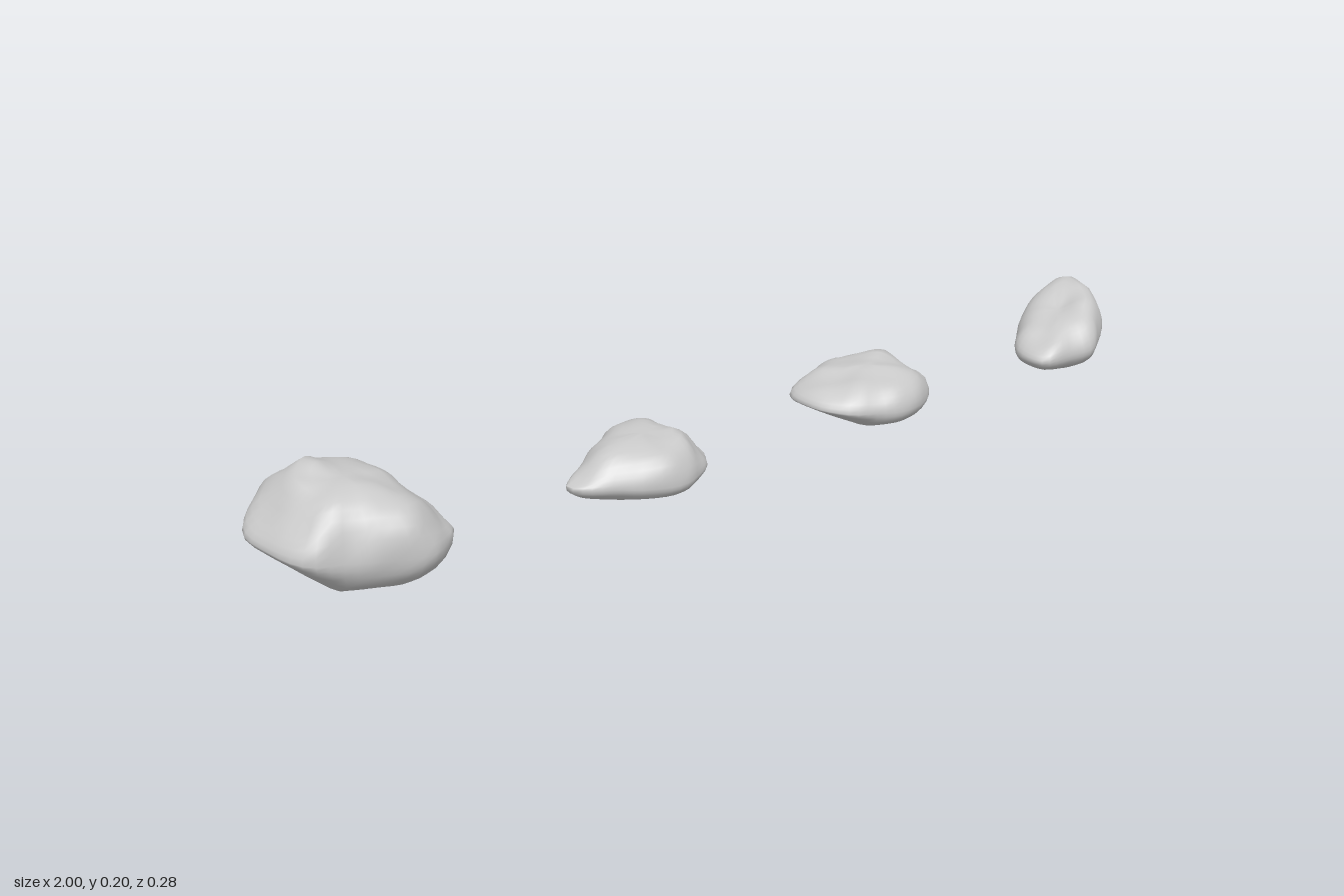
import * as THREE from 'three';
import { mergeVertices } from 'three/addons/utils/BufferGeometryUtils.js';

const SIDES = 44;
const RINGS = 20;

// Height lookup over evenly spaced values, t from 0 to 1
function sample(heights, t) {
  const u = THREE.MathUtils.clamp(t, 0, 1) * (heights.length - 1);
  const i = Math.min(Math.floor(u), heights.length - 2);
  return THREE.MathUtils.lerp(heights[i], heights[i + 1], u - i);
}

// Layered waves that give soft facets and dents
function wave(x, y, z, seed) {
  return 0.6 * Math.sin(38 * x + 21 * z + seed) * Math.cos(33 * z - 25 * y + 2 * seed)
    + 0.4 * Math.sin(71 * x - 47 * y + 3 * seed) * Math.sin(64 * z + 39 * y + seed)
    - 0.5 * Math.abs(Math.sin(29 * x - 34 * z + 22 * y + 5 * seed)) + 0.2;
}

// radii: plan outline in 30 degree steps from +x towards the back.
// top, bottom: heights from the -x end to the +x end.
// rim: height of the widest loop, then its slopes along x and z.
// bump: x, z, radius and height of a knob or dent on top.
function rockGeometry({ seed, x: cx, radii, top, bottom, rim, topSlope, bump }) {
  const corners = radii.map((r, i) => {
    const angle = (i * Math.PI * 2) / radii.length;
    return new THREE.Vector3(r * Math.cos(angle), 0, -r * Math.sin(angle));
  });
  const outline = new THREE.CatmullRomCurve3(corners, true, 'centripetal').getSpacedPoints(SIDES).slice(0, SIDES);
  const { min, max } = new THREE.Box3().setFromPoints(outline);

  // Loops run from the underside, out to the rim, and over the top
  const positions = [], indices = [];
  for (let j = 0; j <= RINGS; j++) {
    const angle = (j / RINGS - 0.5) * Math.PI;
    const s = Math.cos(angle), isTop = angle > 0;
    const fill = Math.sqrt(1 - Math.pow(s, isTop ? 3 : 3.5));
    outline.forEach((p, i) => {
      const x = p.x * s, z = p.z * s;
      const t = (x - min.x) / (max.x - min.x);
      let goal = sample(bottom, t);
      if (isTop) {
        const [bx, bz, radius, height] = bump;
        const distance = Math.hypot(x - bx, z - bz) / radius;
        goal = sample(top, t) + topSlope * z + height * Math.exp(-distance * distance);
      }
      const y = THREE.MathUtils.lerp(rim[0] + rim[1] * x + rim[2] * z, goal, fill);
      const n = 0.005 * wave(x, y, z, seed);
      const swell = 1 + 6 * n;
      positions.push(cx + x * swell, Math.max(0, y + n * fill * (isTop ? 1 : 0.4)), z * swell);
      if (j > 0) {
        const k = (i + 1) % SIDES, a = (j - 1) * SIDES, b = j * SIDES;
        indices.push(a + i, a + k, b + k, a + i, b + k, b + i);
      }
    });
  }
  const geometry = new THREE.BufferGeometry();
  geometry.setAttribute('position', new THREE.Float32BufferAttribute(positions, 3));
  geometry.setIndex(indices);
  const welded = mergeVertices(geometry, 1e-5);
  welded.computeVertexNormals();
  return welded;
}

export function createModel() {
  const group = new THREE.Group();
  group.name = 'rocks';
  const stone = new THREE.MeshStandardMaterial({ color: 0xc8c8c8 });
  stone.name = 'pale grey stone';

  function addRock(name, shape) {
    const mesh = new THREE.Mesh(rockGeometry(shape), stone);
    mesh.name = name;
    group.add(mesh);
  }

  // Tall boulder, sloping down to the front
  addRock('largeBoulder', {
    seed: 1.3, x: -0.85,
    radii: [0.147, 0.15, 0.15, 0.148, 0.158, 0.164, 0.142, 0.13, 0.105, 0.113, 0.152, 0.169],
    top: [0.13, 0.182, 0.187, 0.178, 0.12], bottom: [0.08, 0.012, 0.008, 0.015],
    rim: [0.095, 0, -0.17], topSlope: -0.16, bump: [-0.035, -0.055, 0.03, 0.018],
  });

  // Low rock with a point at one end
  addRock('pointedRock', {
    seed: 4.1, x: -0.25,
    radii: [0.128, 0.117, 0.122, 0.108, 0.095, 0.11, 0.17, 0.113, 0.1, 0.102, 0.105, 0.115],
    top: [0.06, 0.1, 0.114, 0.113, 0.055], bottom: [0.02, 0.01, 0.008, 0.03],
    rim: [0.05, 0, -0.08], topSlope: -0.08, bump: [0.08, 0.02, 0.03, 0.012],
  });

  // Low rock with a flat top
  addRock('flatRock', {
    seed: 7.7, x: 0.3,
    radii: [0.149, 0.135, 0.116, 0.113, 0.12, 0.152, 0.138, 0.115, 0.1, 0.105, 0.11, 0.125],
    top: [0.09, 0.107, 0.113, 0.12, 0.075], bottom: [0.05, 0.012, 0.012, 0.045],
    rim: [0.06, 0, -0.1], topSlope: -0.1, bump: [0.065, -0.04, 0.03, 0.008],
  });

  // Wedge rising to its back corner
  addRock('wedgeRock', {
    seed: 2.6, x: 0.85,
    radii: [0.12, 0.167, 0.118, 0.09, 0.08, 0.087, 0.118, 0.137, 0.1, 0.102, 0.09, 0.1],
    top: [0.075, 0.102, 0.13, 0.166, 0.174], bottom: [0.012, 0.004, 0.02, 0.06],
    rim: [0.065, 0.16, -0.1], topSlope: -0.12, bump: [0.01, 0, 0.03, -0.012],
  });
  return group;
}
